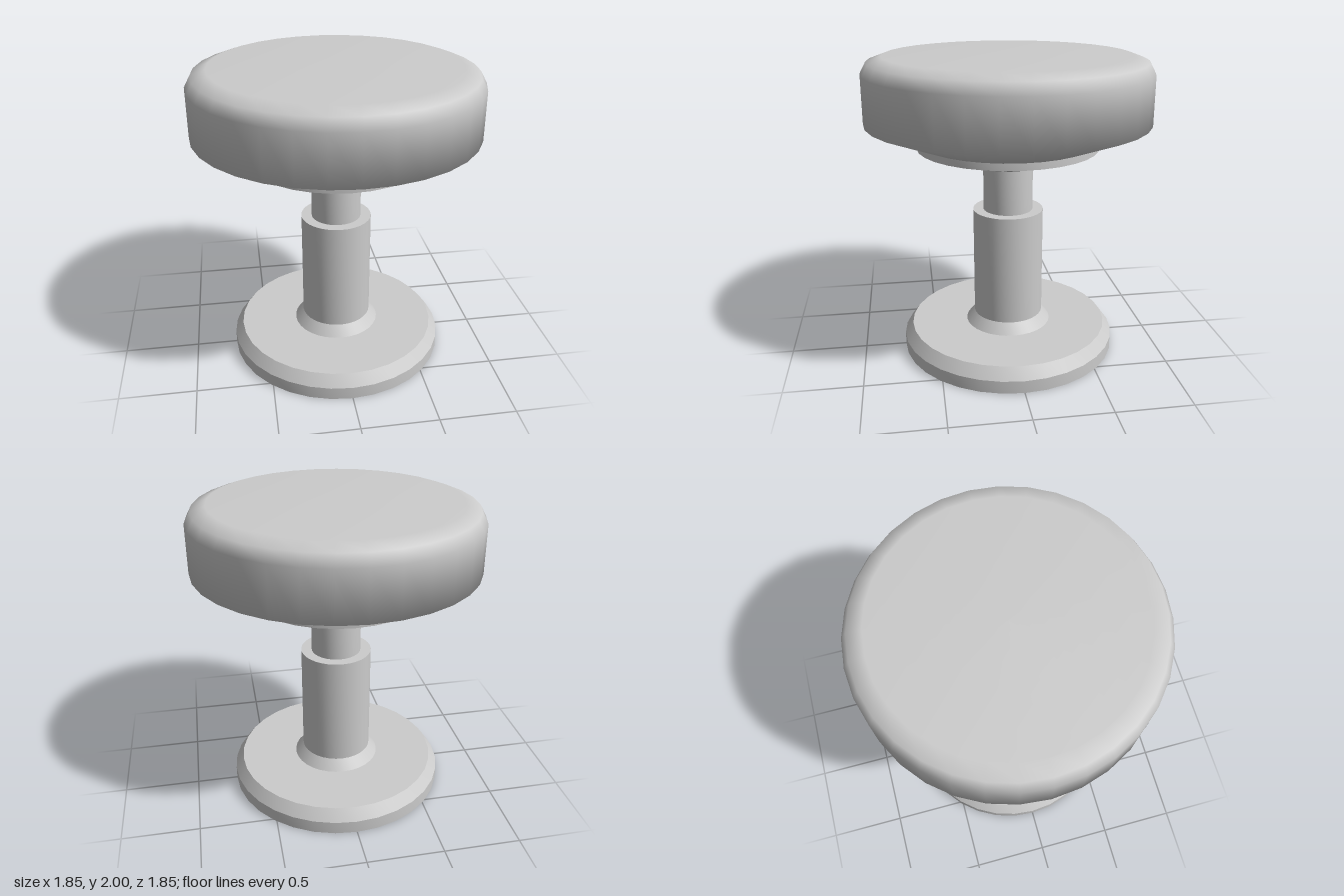
import * as THREE from 'three';
import { toCreasedNormals } from 'three/addons/utils/BufferGeometryUtils.js';

const SIDES = 32;

// Turned part from [radius, height] pairs, listed bottom to top
function turned(name, profile, soft = false) {
  const points = profile.map(([r, y]) => new THREE.Vector2(r, y));
  let geometry = new THREE.LatheGeometry(points, SIDES);
  if (!soft) geometry = toCreasedNormals(geometry, Math.PI / 9);
  const mesh = new THREE.Mesh(geometry, new THREE.MeshStandardMaterial({ color: 0xcccccc }));
  mesh.name = name;
  return mesh;
}

export function createModel() {
  const stool = new THREE.Group();
  stool.name = 'stool';
  stool.add(
    // Floor plate with bevelled rim
    turned('base', [[0, 0], [0.725, 0], [0.725, 0.085], [0.67, 0.16], [0, 0.16]]),
    // Flared collar where the column meets the base
    turned('collar', [[0.29, 0.16], [0.235, 0.23], [0, 0.23]]),
    // Outer and inner columns
    turned('outerColumn', [[0.235, 0.23], [0.235, 0.975], [0, 0.975]]),
    turned('innerColumn', [[0.165, 0.975], [0.165, 1.28]]),
    // Conical dish under the seat
    turned('seatSupport', [[0, 1.275], [0.165, 1.275], [0.595, 1.405], [0.595, 1.45], [0, 1.45]]),
    // Padded seat, smooth shaded over its whole profile
    turned('seatCushion', [
      [0.595, 1.45], [0.923, 1.58], [0.923, 1.895], [0.885, 1.965], [0.79, 2], [0, 2],
    ], true),
  );
  return stool;
}
